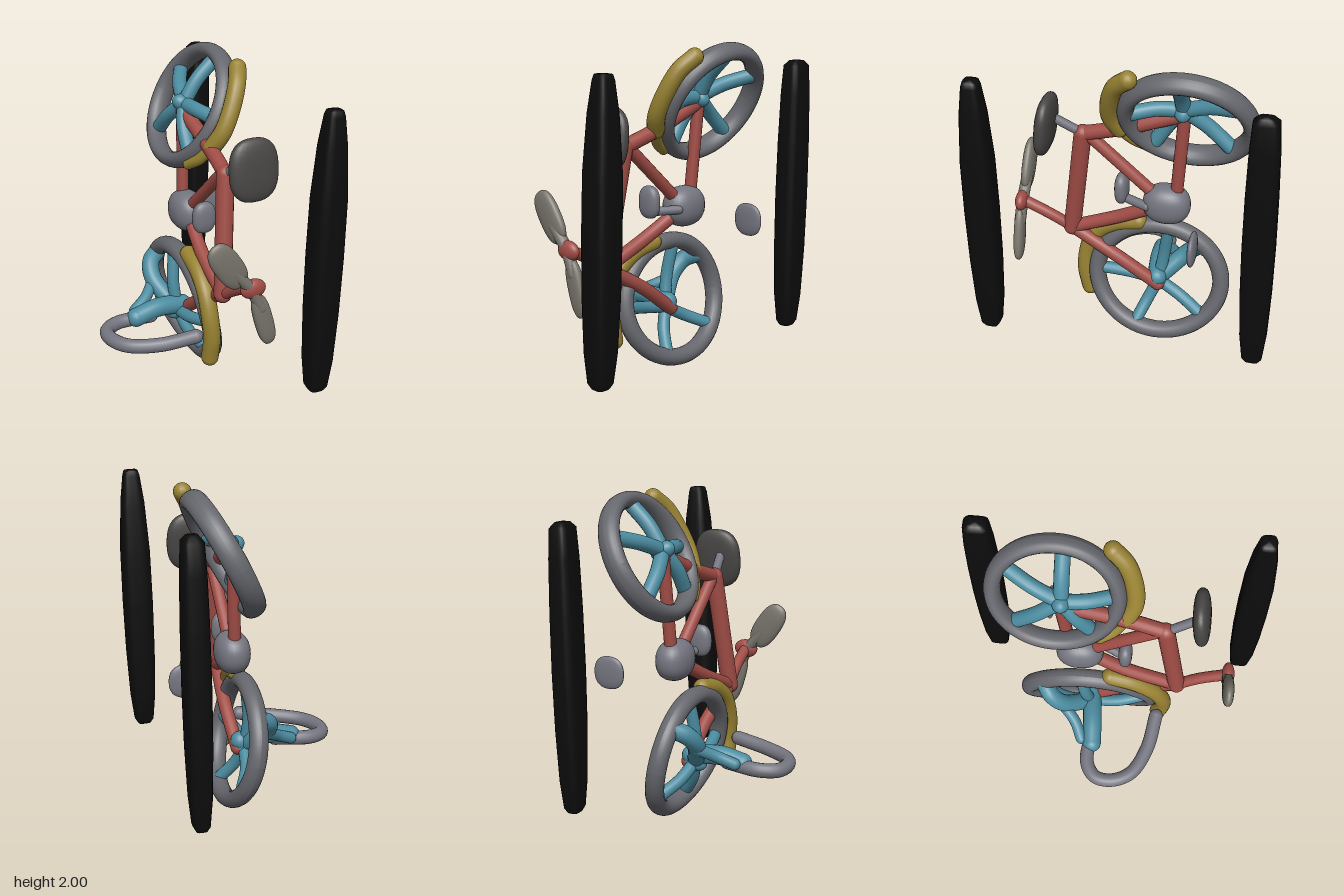
import * as THREE from 'three';

const mat = (color) => new THREE.MeshStandardMaterial({ color });
const TYRE = mat(0x66676d), BLUE = mat(0x4b8ca0), RED = mat(0xa04c45), YELLOW = mat(0x988232);
const DARK = mat(0x484644), BLACK = mat(0x0c0c0c), STEEL = mat(0x74757f), GRIP = mat(0x77746b);

function add(parent, geometry, material, name) {
  const mesh = new THREE.Mesh(geometry, material);
  mesh.name = name;
  parent.add(mesh);
  return mesh;
}

// Round-ended tube through a list of points
function limb(parent, name, points, radius, material) {
  const group = new THREE.Group();
  group.name = name;
  const pts = points.map((p) => new THREE.Vector3(...p));
  const curve = new THREE.CatmullRomCurve3(pts);
  add(group, new THREE.TubeGeometry(curve, pts.length * 10, radius, 16), material, name + 'Tube');
  for (const p of [pts[0], pts[pts.length - 1]]) {
    add(group, new THREE.SphereGeometry(radius, 16, 12), material, name + 'End').position.copy(p);
  }
  parent.add(group);
}

// Rounded lump with given half sizes; a higher power is boxier
function blob(parent, name, pos, half, material, tilt = [0, 0, 0], power = 2) {
  const geo = new THREE.SphereGeometry(1, 28, 20);
  const p = geo.attributes.position;
  for (let i = 0; i < p.count; i++) {
    const v = [p.getX(i), p.getY(i), p.getZ(i)];
    const k = Math.pow(v.reduce((sum, c) => sum + Math.abs(c) ** power, 0), -1 / power);
    p.setXYZ(i, ...v.map((c, axis) => c * k * half[axis]));
  }
  geo.computeVertexNormals();
  const mesh = add(parent, geo, material, name);
  mesh.position.set(...pos);
  mesh.rotation.set(...tilt);
}

// Leaning oval wheel with dished spokes; axle lies along x, bend bows the rim sideways
function wheel(parent, name, { pos, lean, bend, ru, rv, tube, wide, hub, spokes, spokeRadius }) {
  const group = new THREE.Group();
  group.name = name;
  group.position.set(...pos);
  group.rotation.z = lean;
  const tyre = new THREE.TorusGeometry(1, 1, 18, 72);
  const p = tyre.attributes.position;
  for (let i = 0; i < p.count; i++) {
    const side = Math.floor(i / 73) / 18 * Math.PI * 2;
    const around = (i % 73) / 72 * Math.PI * 2;
    const out = tube * Math.cos(side), up = Math.sin(around);
    p.setXYZ(i, tube * wide * Math.sin(side) + bend * up * up, (rv + out) * up, -(ru + out) * Math.cos(around));
  }
  tyre.computeVertexNormals();
  add(group, tyre, TYRE, name + 'Tyre');
  spokes.forEach((deg, i) => {
    const a = THREE.MathUtils.degToRad(deg);
    const end = [bend * Math.sin(a) ** 2, rv * 0.92 * Math.sin(a), -ru * 0.92 * Math.cos(a)];
    const mid = hub.map((h, k) => (h + end[k]) / 2 + (k === 0 ? -0.02 : 0));
    limb(group, name + 'Spoke' + (i + 1), [hub, mid, end], spokeRadius, BLUE);
  });
  blob(group, name + 'Hub', hub, [0.08, 0.055, 0.055], BLUE);
  parent.add(group);
}

// Upright post with a squarish section that narrows at both ends
function post(parent, name, pos, height, halfX, halfZ, taper, lean) {
  const profile = [[0, 0], [0.45, 0.002], [0.65, 0.02], [0.84, 0.12], [0.96, 0.3], [1, 0.5],
    [0.97, 0.7], [1 - taper * 0.5, 0.88], [1 - taper, 0.98], [0.45, 0.998], [0, 1]];
  const geo = new THREE.LatheGeometry(profile.map(([r, t]) => new THREE.Vector2(r, t * height)), 32);
  const p = geo.attributes.position;
  for (let i = 0; i < p.count; i++) {
    const x = p.getX(i), z = p.getZ(i), r = Math.hypot(x, z);
    if (r < 1e-6) continue;
    const k = Math.pow((x / r) ** 4 + (z / r) ** 4, -0.25);
    p.setX(i, x * k * halfX);
    p.setZ(i, z * k * halfZ);
  }
  geo.computeVertexNormals();
  const mesh = add(parent, geo, BLACK, name);
  mesh.position.set(...pos);
  mesh.rotation.z = lean;
}

export function createModel() {
  const model = new THREE.Group();
  model.name = 'bicycle';

  // Wheels
  wheel(model, 'upperWheel', {
    pos: [0.19, 1.635, -0.345], lean: -0.47, bend: 0, ru: 0.362, rv: 0.354, tube: 0.049, wide: 1.4,
    hub: [-0.07, 0, 0.04], spokes: [97, 30, -45, -130, 178], spokeRadius: 0.045,
  });
  wheel(model, 'lowerWheel', {
    pos: [0.045, 0.41, -0.155], lean: 0.2, bend: 0.03, ru: 0.395, rv: 0.362, tube: 0.053, wide: 1.1,
    hub: [-0.05, -0.05, 0.01], spokes: [82, -40, -110, 178], spokeRadius: 0.038,
  });

  // Mudguards
  limb(model, 'upperMudguard', [[0.345, 1.935, -0.03], [0.3, 1.86, 0.05], [0.24, 1.73, 0.1],
    [0.18, 1.6, 0.11], [0.13, 1.5, 0.07]], 0.054, YELLOW);
  limb(model, 'upperMudguardTail', [[0.13, 1.5, 0.07], [0.08, 1.41, 0], [0.05, 1.36, -0.08]], 0.035, YELLOW);
  limb(model, 'lowerMudguard', [[0.02, 0.79, -0.02], [0.01, 0.75, 0.13], [0, 0.66, 0.25],
    [0, 0.53, 0.31], [0.01, 0.38, 0.325], [0.01, 0.23, 0.3]], 0.054, YELLOW);

  // Frame tubes
  const head = [0.04, 0.7, 0.4], seat = [0.1, 1.42, 0.3], crank = [0.1, 1.0, -0.2];
  limb(model, 'mainTube', [head, seat], 0.054, RED);
  limb(model, 'downTube', [head, [0.06, 0.84, 0.08], [0.09, 0.95, -0.12]], 0.042, RED);
  limb(model, 'seatTube', [[0.1, 1.4, 0.25], crank], 0.038, RED);
  limb(model, 'upperStay', [seat, [0.12, 1.49, 0.08], [0.12, 1.63, -0.3]], 0.045, RED);
  limb(model, 'rearStay', [[0.12, 1.61, -0.31], [0.1, 1.1, -0.27]], 0.038, RED);
  limb(model, 'fork', [head, [0.06, 0.54, 0.12], [0.05, 0.35, -0.15]], 0.042, RED);
  limb(model, 'stem', [[0.07, 0.87, 0.7], [0.06, 0.79, 0.54], head], 0.035, RED);

  // Saddle
  limb(model, 'saddlePost', [seat, [0.14, 1.53, 0.47]], 0.028, STEEL);
  blob(model, 'saddle', [0.175, 1.5, 0.5], [0.155, 0.187, 0.052], DARK, [-0.1, 0, 0], 2.6);

  // Handlebar with two wide grips
  blob(model, 'handlebarClamp', [0.07, 0.87, 0.71], [0.08, 0.06, 0.04], RED);
  blob(model, 'upperGrip', [-0.09, 1.04, 0.705], [0.085, 0.165, 0.035], GRIP, [0, 0, 0.6], 2.6);
  limb(model, 'upperBar', [[-0.06, 1.0, 0.705], [0.06, 0.87, 0.71]], 0.036, GRIP);
  limb(model, 'lowerBar', [[0.06, 0.87, 0.71], [0.12, 0.74, 0.715]], 0.036, GRIP);
  blob(model, 'lowerGrip', [0.14, 0.66, 0.715], [0.057, 0.17, 0.032], GRIP, [0, 0, 0.28], 2.8);

  // Crank and pedals
  blob(model, 'crankCase', [0.1, 1.0, -0.21], [0.105, 0.125, 0.145], STEEL, [0, 0, 0], 2.3);
  limb(model, 'crankArm', [[0.16, 1.0, -0.1], [0.1, 1.0, 0.03]], 0.028, STEEL);
  blob(model, 'innerPedal', [0.08, 1.06, 0.07], [0.075, 0.1, 0.042], STEEL, [0, 0, 0], 2.5);
  blob(model, 'outerPedal', [0.43, 0.93, -0.43], [0.1, 0.1, 0.025], STEEL, [0, 0, 0], 2.4);

  // Half hoop reaching out from the lower hub
  limb(model, 'sideHoop', [[-0.2, 0.37, -0.11], [-0.42, 0.36, -0.13], [-0.515, 0.355, -0.07],
    [-0.53, 0.355, 0.04], [-0.47, 0.355, 0.16], [-0.3, 0.365, 0.25], [-0.08, 0.39, 0.29]], 0.044, STEEL);
  limb(model, 'hoopArm', [[-0.3, 0.38, -0.11], [-0.15, 0.41, -0.12], [0.03, 0.39, -0.14]], 0.06, BLUE);
  limb(model, 'hoopBrace', [[-0.28, 0.39, -0.18], [-0.18, 0.44, -0.23], [-0.09, 0.5, -0.32]], 0.036, BLUE);
  limb(model, 'hoopSpoke', [[-0.02, 0.39, -0.17], [-0.09, 0.52, -0.31], [-0.07, 0.6, -0.39],
    [0, 0.64, -0.44]], 0.055, BLUE);

  // Separate upright posts
  post(model, 'frontPost', [0.445, 0.17, 0.822], 1.74, 0.094, 0.093, 0.45, -0.025);
  post(model, 'rearPost', [0.442, 0.18, -0.815], 1.7, 0.075, 0.095, 0.22, -0.018);
  return model;
}
